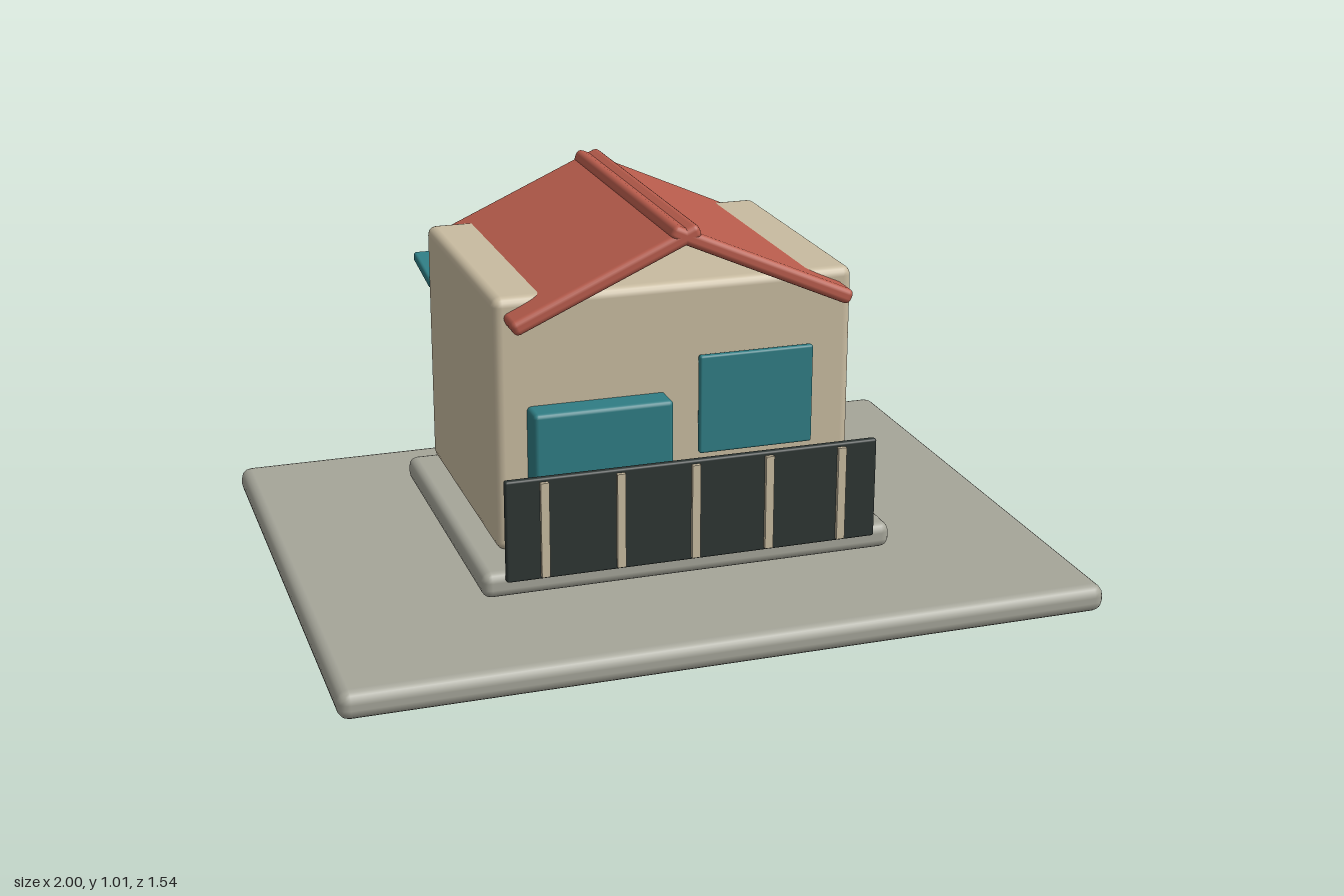
import * as THREE from 'three';
import { RoundedBoxGeometry } from 'three/addons/geometries/RoundedBoxGeometry.js';

const material = (name, color) => {
  const m = new THREE.MeshStandardMaterial({ color });
  m.name = name;
  return m;
};

export function createModel() {
  const model = new THREE.Group();
  model.name = 'house';

  const concrete = material('concrete', 0xa5a599);
  const plaster = material('plaster', 0xc8bba0);
  const tile = material('roof red', 0xb85c4c);
  const teal = material('teal', 0x2f7d84);
  const charcoal = material('charcoal', 0x2d3533);
  const wood = material('door brown', 0x8a6243);
  const metal = material('unit grey', 0x6f7c7e);

  // Box given by its extents on each axis, with softened edges of radius r
  const block = (name, mat, [x0, x1], [y0, y1], [z0, z1], r = 0, segments = 2) => {
    const size = [x1 - x0, y1 - y0, z1 - z0];
    const geometry = r > 0
      ? new RoundedBoxGeometry(...size, segments, r)
      : new THREE.BoxGeometry(...size);
    const mesh = new THREE.Mesh(geometry, mat);
    mesh.position.set((x0 + x1) / 2, (y0 + y1) / 2, (z0 + z1) / 2);
    mesh.name = name;
    model.add(mesh);
    return mesh;
  };

  // Ground, plinth and walls
  block('groundSlab', concrete, [-1, 1], [0, 0.074], [-0.77, 0.77], 0.03);
  block('plinth', concrete, [-0.557, 0.557], [0.088, 0.157], [-0.495, 0.395], 0.025);
  block('walls', plaster, [-0.483, 0.483], [0.155, 0.837], [-0.485, 0.26], 0.025);

  // Two roof slabs crossing at the ridge
  for (const side of [-1, 1]) {
    const slab = new THREE.Mesh(new RoundedBoxGeometry(0.535, 0.04, 0.88, 2, 0.015), tile);
    slab.position.set(side * 0.2075, 0.883, -0.1);
    slab.rotation.z = -side * THREE.MathUtils.degToRad(24);
    slab.name = side < 0 ? 'roofRight' : 'roofLeft';
    model.add(slab);
  }

  // Front bay and window
  block('frontBay', teal, [-0.4, -0.03], [0.16, 0.546], [0.22, 0.332], 0.012);
  block('frontWindow', teal, [0.055, 0.367], [0.375, 0.642], [0.268, 0.288], 0.006);

  // Front fence panel with posts
  block('fencePanel', charcoal, [-0.5, 0.5], [0.137, 0.41], [0.393, 0.413], 0.006);
  for (let i = -2; i <= 2; i++) {
    const x = i * 0.2;
    block('fencePost', plaster, [x - 0.011, x + 0.011], [0.145, 0.4], [0.405, 0.424]);
  }

  // Back door, window and awning
  block('backDoor', wood, [-0.37, -0.1], [0.157, 0.608], [-0.507, -0.48], 0.006);
  block('backWindow', teal, [0.067, 0.392], [0.365, 0.615], [-0.507, -0.48], 0.006);
  const awning = block('awning', teal, [-0.486, 0.406], [0.673, 0.701], [-0.655, -0.455], 0.008);
  awning.rotation.x = THREE.MathUtils.degToRad(8);

  // Two wall units stacked on the back
  for (const y of [0.2, 0.325]) {
    block('wallUnit', metal, [0.34, 0.46], [y, y + 0.08], [-0.556, -0.483], 0.004);
  }

  return model;
}
